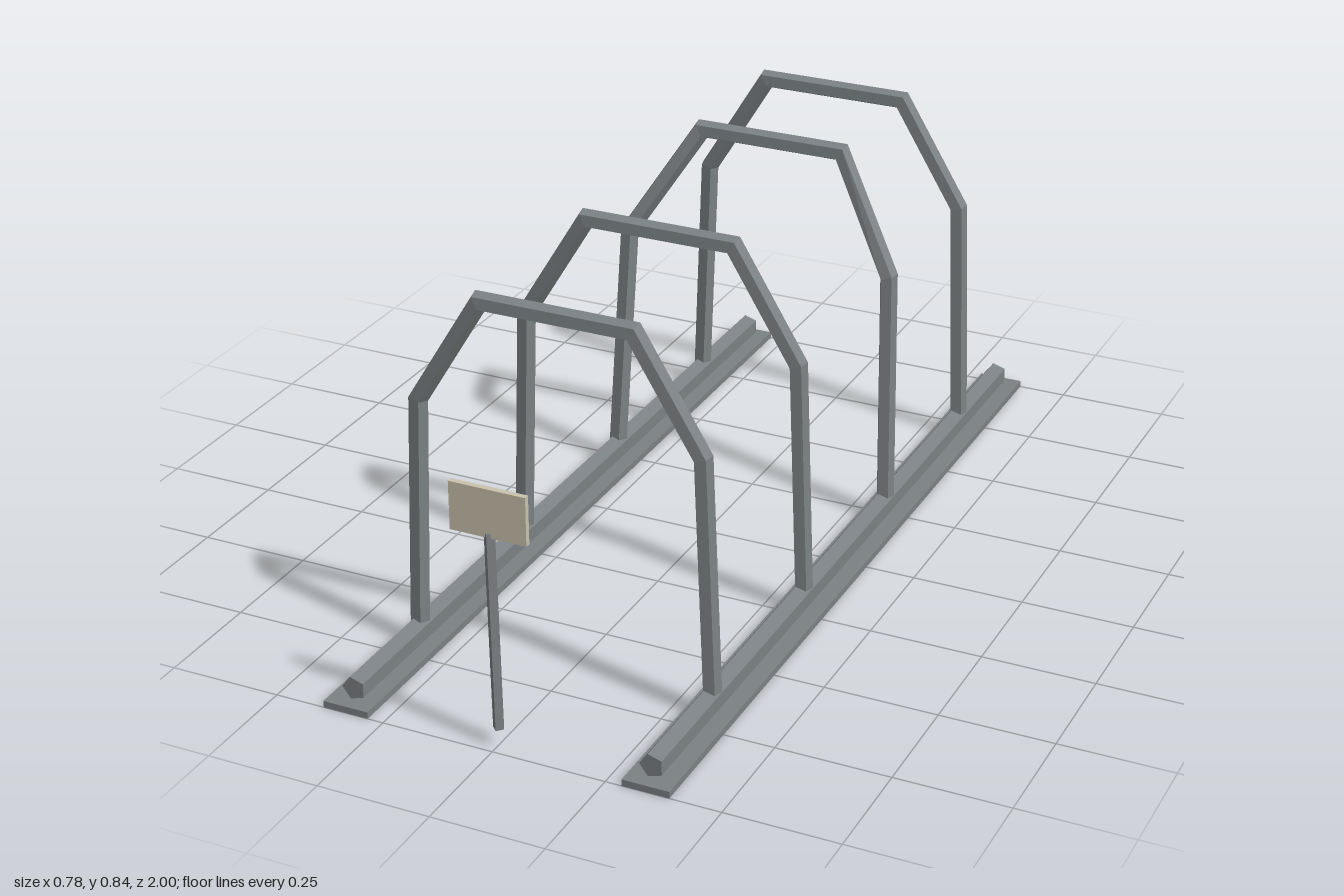
import * as THREE from 'three';

const metal = new THREE.MeshStandardMaterial({ color: 0x7b8184, flatShading: true });
metal.name = 'grey metal';
const board = new THREE.MeshStandardMaterial({ color: 0xcbc2ae, flatShading: true });
board.name = 'beige board';

// Five-sided tube swept along a path of Vector3, mitred in the xy plane
function hoopGeometry(path, radius, sides = 5) {
  const flat = (a, b) => new THREE.Vector2(b.x - a.x, b.y - a.y).normalize();
  const pos = [], index = [];
  const last = path.length - 1;
  path.forEach((p, i) => {
    const tin = flat(path[Math.max(i - 1, 0)], path[Math.max(i, 1)]);
    const tout = flat(path[Math.min(i, last - 1)], path[Math.min(i + 1, last)]);
    const t = tin.clone().add(tout).normalize();
    const stretch = radius / t.dot(tin);
    for (let j = 0; j < sides; j++) {
      const a = THREE.MathUtils.degToRad(48) + (j / sides) * Math.PI * 2;
      const out = Math.cos(a) * stretch;
      pos.push(p.x + t.y * out, p.y - t.x * out, p.z + Math.sin(a) * radius);
    }
  });
  for (let i = 0; i < last; i++) {
    for (let j = 0; j < sides; j++) {
      const a = i * sides + j, b = i * sides + (j + 1) % sides;
      index.push(a, a + sides, b, b, a + sides, b + sides);
    }
  }
  // end caps
  const e = last * sides;
  for (let j = 1; j < sides - 1; j++) index.push(0, j, j + 1, e, e + j + 1, e + j);
  const g = new THREE.BufferGeometry();
  g.setAttribute('position', new THREE.Float32BufferAttribute(pos, 3));
  g.setIndex(index);
  const result = g.toNonIndexed();
  result.computeVertexNormals();
  return result;
}

export function createModel() {
  const model = new THREE.Group();
  model.name = 'bikeRack';
  const add = (name, geometry, material, x, y, z) => {
    const mesh = new THREE.Mesh(geometry, material);
    mesh.name = name;
    mesh.position.set(x, y, z);
    model.add(mesh);
    return mesh;
  };

  // Ground plates with a pentagonal rail on each
  const railGeometry = new THREE.CylinderGeometry(0.027, 0.027, 1.935, 5, 1, false, -Math.PI / 2);
  railGeometry.rotateX(Math.PI / 2);
  for (const [side, s] of [['left', 1], ['right', -1]]) {
    add(side + 'GroundPlate', new THREE.BoxGeometry(0.103, 0.015, 2), metal, s * 0.337, 0.0075, 0);
    add(side + 'Rail', railGeometry, metal, s * 0.335, 0.04, 0);
  }

  // Hoops: z at the foot, shoulder and top; the third one is bent backwards
  const hoops = [
    [0.695, 0.695, 0.695],
    [0.233, 0.233, 0.233],
    [-0.23, -0.265, -0.338],
    [-0.697, -0.697, -0.697],
  ];
  hoops.forEach(([foot, shoulder, top], i) => {
    const half = [[0.337, 0.045, foot], [0.317, 0.58, shoulder], [0.17, 0.82, top]];
    const path = half.map(([x, y, z]) => new THREE.Vector3(x, y, z));
    const mirrored = half.map(([x, y, z]) => new THREE.Vector3(-x, y, z)).reverse();
    add(i === 2 ? 'bentHoop' : 'hoop' + (i + 1), hoopGeometry([...path, ...mirrored], 0.021), metal, 0, 0, 0);
  });

  // Sign on a slightly leaning square post
  const post = add('signPost', new THREE.CylinderGeometry(0.0125, 0.0125, 0.447, 4), metal, 0, 0.262, 0.976);
  post.rotation.x = 0.022;
  add('signBoard', new THREE.BoxGeometry(0.167, 0.105, 0.012), board, 0, 0.528, 0.981);

  return model;
}
